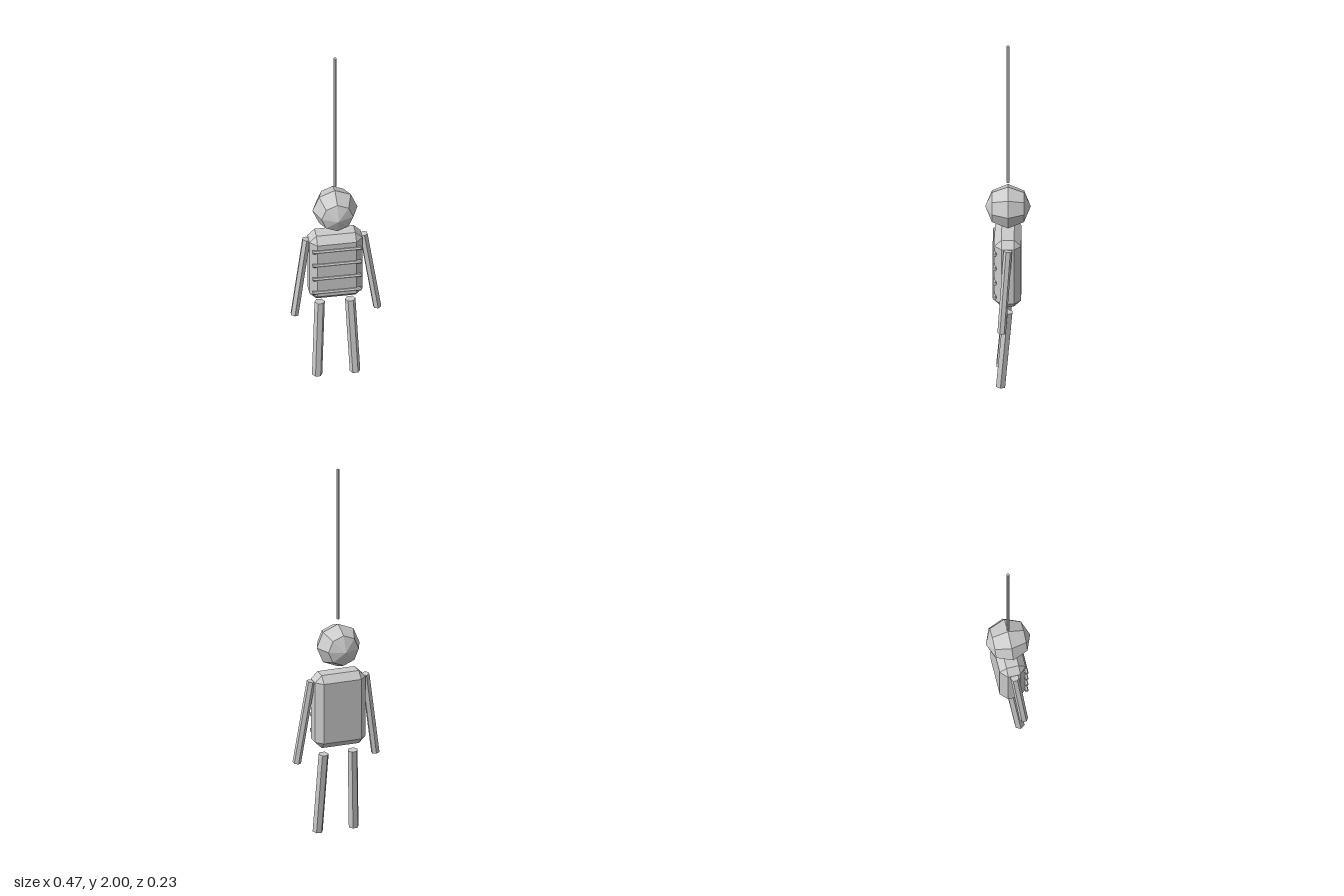
import * as THREE from 'three';
import { ConvexGeometry } from 'three/addons/geometries/ConvexGeometry.js';

const grey = new THREE.MeshStandardMaterial({ color: 0xcccccc, flatShading: true });
grey.name = 'plain grey';

const UP = new THREE.Vector3(0, 1, 0);

function part(name, geometry) {
  const mesh = new THREE.Mesh(geometry, grey);
  mesh.name = name;
  return mesh;
}

// Six-sided rod between two points, one edge facing the way it leans
function rod(name, from, to, radius) {
  const a = new THREE.Vector3(...from), b = new THREE.Vector3(...to);
  const axis = a.clone().sub(b);
  const geometry = new THREE.CylinderGeometry(radius, radius, axis.length(), 6);
  geometry.rotateY(Math.atan2(-axis.x, -axis.z));
  const mesh = part(name, geometry);
  mesh.quaternion.setFromUnitVectors(UP, axis.normalize());
  mesh.position.copy(a).add(b).multiplyScalar(0.5);
  return mesh;
}

// Box with all edges and corners cut off
function chamferedBox(hx, hy, hz, cut) {
  const points = [];
  for (const sx of [-1, 1]) for (const sy of [-1, 1]) for (const sz of [-1, 1]) {
    points.push(
      new THREE.Vector3(sx * hx, sy * (hy - cut), sz * (hz - cut)),
      new THREE.Vector3(sx * (hx - cut), sy * hy, sz * (hz - cut)),
      new THREE.Vector3(sx * (hx - cut), sy * (hy - cut), sz * hz));
  }
  return new ConvexGeometry(points);
}

export function createModel() {
  const model = new THREE.Group();
  model.name = 'hangingFigure';

  // Rope above the head
  const rope = part('rope', new THREE.CylinderGeometry(0.008, 0.008, 0.825, 6));
  rope.position.y = 1.5875;
  model.add(rope);

  // Head, with its poles at front and back
  const head = part('head', new THREE.SphereGeometry(0.1165, 8, 4).rotateX(Math.PI / 2));
  head.position.y = 1.03;
  model.add(head);

  // Torso
  const torso = part('torso', chamferedBox(0.137, 0.2, 0.068, 0.036));
  torso.position.y = 0.688;
  model.add(torso);

  // Ribs across the chest
  for (let i = 0; i < 4; i++) {
    const rib = part('rib', new THREE.CylinderGeometry(0.01, 0.01, 0.252, 6).rotateZ(Math.PI / 2));
    rib.position.set(0, 0.552 + i * 0.087, 0.068);
    model.add(rib);
  }

  // Arms and legs
  for (const [side, s] of [['left', 1], ['right', -1]]) {
    model.add(rod(side + 'Arm', [s * 0.148, 0.852, 0], [s * 0.214, 0.399, 0.031], 0.022));
    model.add(rod(side + 'Leg', [s * 0.079, 0.441, 0], [s * 0.098, 0.003, 0.037], 0.027));
  }
  return model;
}
